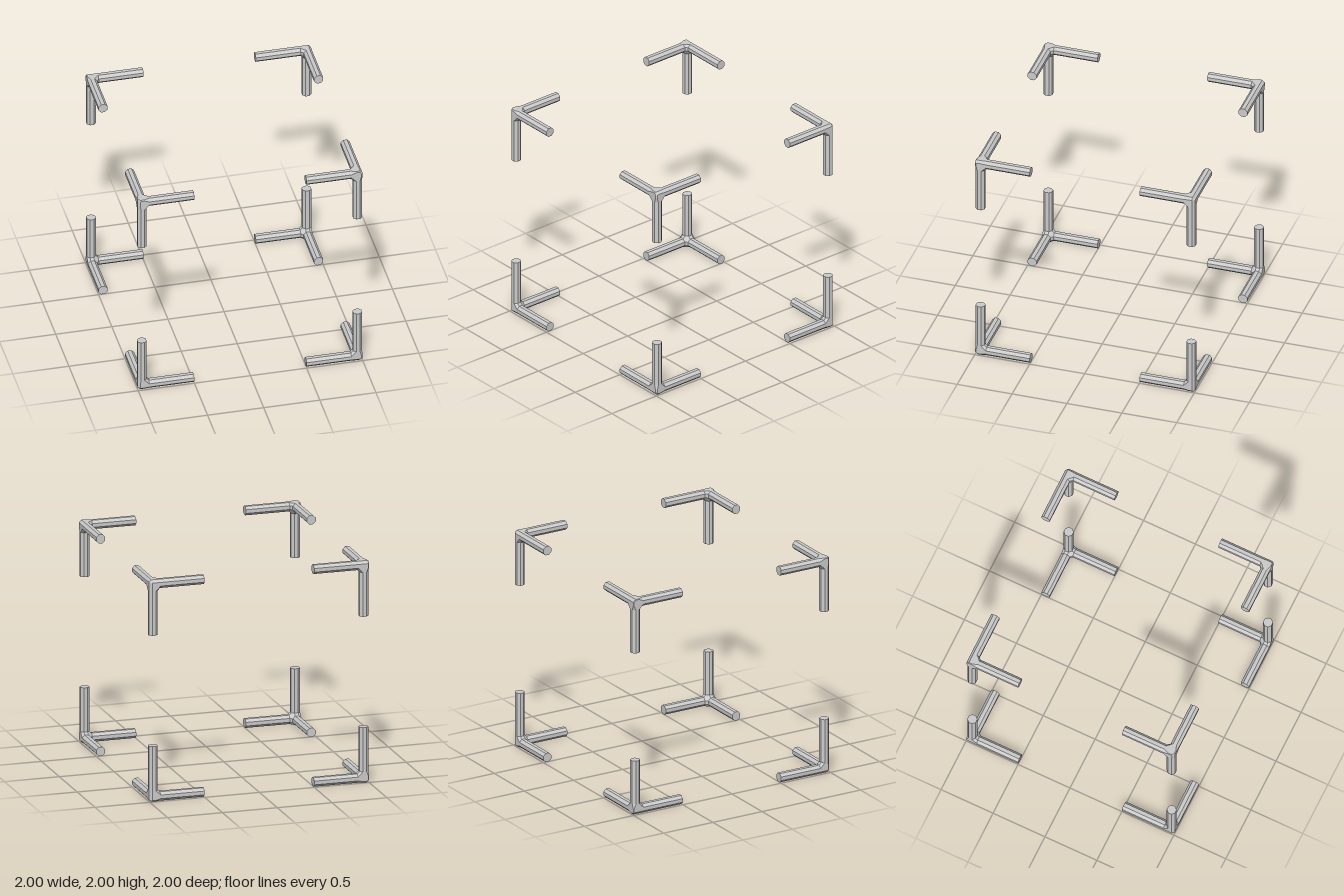
import * as THREE from 'three';
import { ConvexGeometry } from 'three/addons/geometries/ConvexGeometry.js';

const HALF = 0.04;                          // half the bar width across flats
const FLAT = HALF * Math.tan(Math.PI / 8);  // half the width of one facet
const HUB = 0.1;                            // joint size along each bar
const REACH = 0.5;                          // bar length from the outer corner

// Outer bevel of the joint in each plane, keyed by the signs of its two axes
const BEVEL = {
  '01': { '--': 0.028, '-+': 0.005, '+-': 0.015, '++': 0.02 },
  '12': { '--': 0.012, '-+': 0.02, '+-': 0.025, '++': 0.008 },
  '02': { '--': 0.005, '-+': 0.02, '+-': 0.025, '++': 0.012 },
};
const sign = (s) => (s < 0 ? '-' : '+');

export function createModel() {
  const model = new THREE.Group();
  model.name = 'cornerFrame';
  const material = new THREE.MeshStandardMaterial({ color: 0xcccccc, flatShading: true });

  // One octagonal bar along each axis
  const bars = [0, 1, 2].map((axis) => {
    const g = new THREE.CylinderGeometry(HALF / Math.cos(Math.PI / 8), HALF / Math.cos(Math.PI / 8),
      REACH - HUB, 8, 1, false, Math.PI / 8);
    if (axis === 0) g.rotateZ(Math.PI / 2);
    if (axis === 2) g.rotateX(Math.PI / 2);
    return g;
  });

  // Joint: hull of the three bar ends and the mitred outer edges
  function jointGeometry(s) {
    const points = [];
    const add = (axes, depths) => {
      const p = [0, 0, 0];
      axes.forEach((a, i) => { p[a] = s[a] * (1 - depths[i]); });
      points.push(new THREE.Vector3(...p));
    };
    for (let a = 0; a < 3; a++) {
      const b = (a + 1) % 3, c = (a + 2) % 3;
      for (let i = 0; i < 8; i++) {
        const angle = Math.PI / 8 + i * Math.PI / 4, r = HALF / Math.cos(Math.PI / 8);
        add([a, b, c], [HUB, HALF + r * Math.cos(angle), HALF + r * Math.sin(angle)]);
      }
      const [lo, hi] = [Math.min(a, b), Math.max(a, b)];
      const bevel = BEVEL[`${lo}${hi}`][sign(s[lo]) + sign(s[hi])];
      for (const side of [-FLAT, FLAT]) {
        add([a, b, c], [bevel, 0, HALF + side]);
        add([a, b, c], [0, bevel, HALF + side]);
      }
    }
    return new ConvexGeometry(points);
  }

  // Eight brackets at the corners of a cube
  for (const x of [-1, 1]) for (const y of [-1, 1]) for (const z of [-1, 1]) {
    const s = [x, y, z];
    const bracket = new THREE.Group();
    bracket.name = `${y > 0 ? 'top' : 'bottom'}${z > 0 ? 'Front' : 'Back'}${x > 0 ? 'Left' : 'Right'}Bracket`;
    bracket.position.y = 1;

    const joint = new THREE.Mesh(jointGeometry(s), material);
    joint.name = 'joint';
    bracket.add(joint);

    ['sideBar', 'uprightBar', 'depthBar'].forEach((name, axis) => {
      const bar = new THREE.Mesh(bars[axis], material);
      bar.name = name;
      const p = s.map((v, i) => v * (1 - (i === axis ? (HUB + REACH) / 2 : HALF)));
      bar.position.set(...p);
      bracket.add(bar);
    });
    model.add(bracket);
  }
  return model;
}
